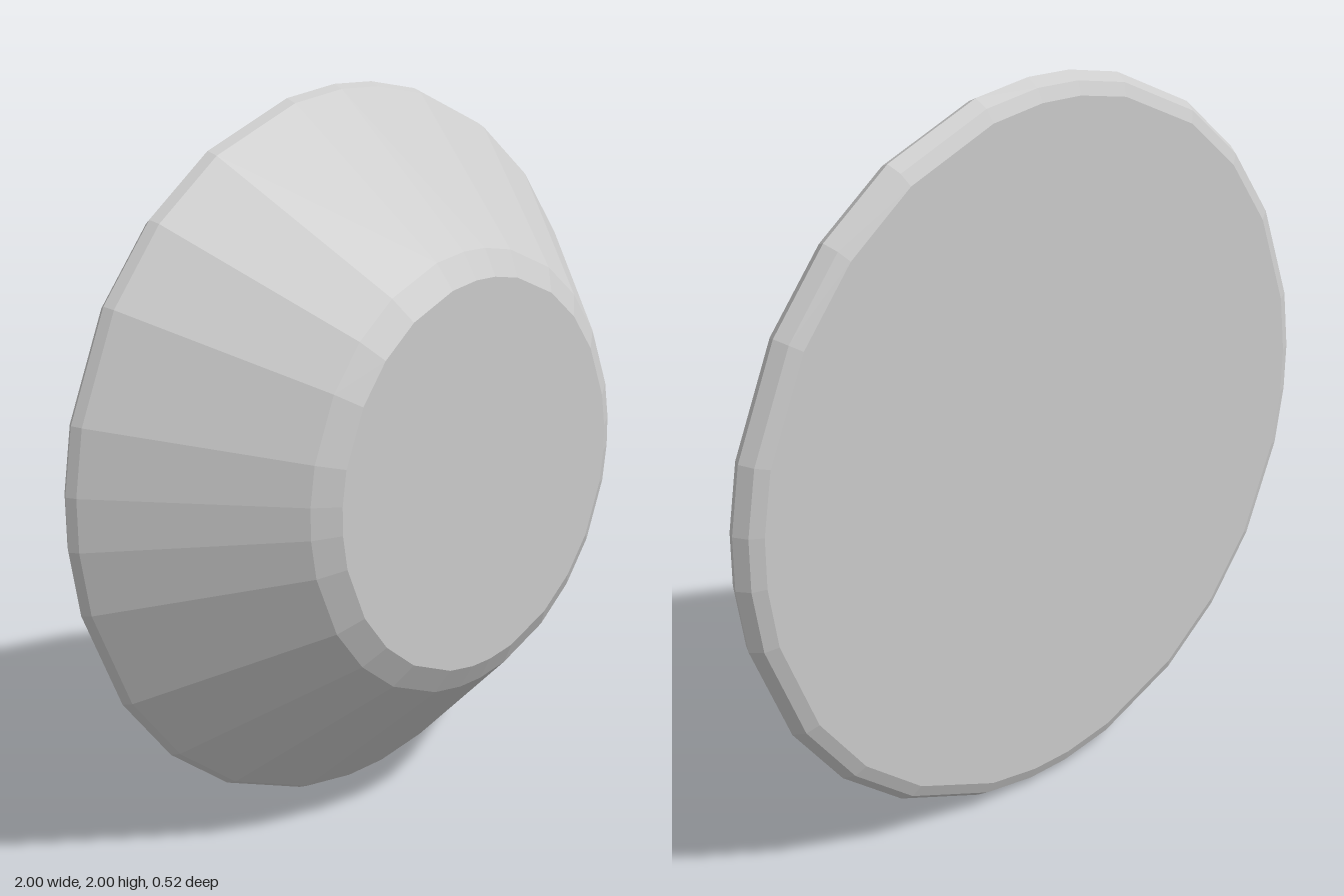
import * as THREE from 'three';

// Uneven facet angles (degrees) within one quarter turn
const QUARTER = [4, 14, 31, 45, 59, 76, 86];

// Turned solid whose facets follow the uneven angles, with its axis along z
function facetedLathe(profile) {
  const points = profile.map(([r, z]) => new THREE.Vector2(r, z));
  const sides = QUARTER.length * 4;
  const geometry = new THREE.LatheGeometry(points, sides);
  const position = geometry.attributes.position;
  for (let i = 0; i <= sides; i++) {
    const k = i % sides;
    const degrees = QUARTER[k % QUARTER.length] + 90 * Math.floor(k / QUARTER.length);
    const angle = THREE.MathUtils.degToRad(degrees);
    points.forEach((p, j) => {
      position.setXYZ(i * points.length + j, p.x * Math.sin(angle), p.y, p.x * Math.cos(angle));
    });
  }
  geometry.rotateX(Math.PI / 2);
  geometry.computeVertexNormals();
  return geometry;
}

export function createModel() {
  const group = new THREE.Group();
  group.name = 'taperedDisc';
  const material = new THREE.MeshStandardMaterial({ color: 0xcccccc, flatShading: true });

  // Flat back, rounded rim, sloping side, bevel and flat front: [radius, z]
  const body = new THREE.Mesh(facetedLathe([
    [0, -0.26],
    [0.945, -0.26],
    [0.98, -0.245],
    [1.002, -0.212],
    [0.99, -0.185],
    [0.6, 0.22],
    [0.53, 0.26],
    [0, 0.26],
  ]), material);
  body.name = 'body';
  body.position.y = 1;
  group.add(body);

  return group;
}
